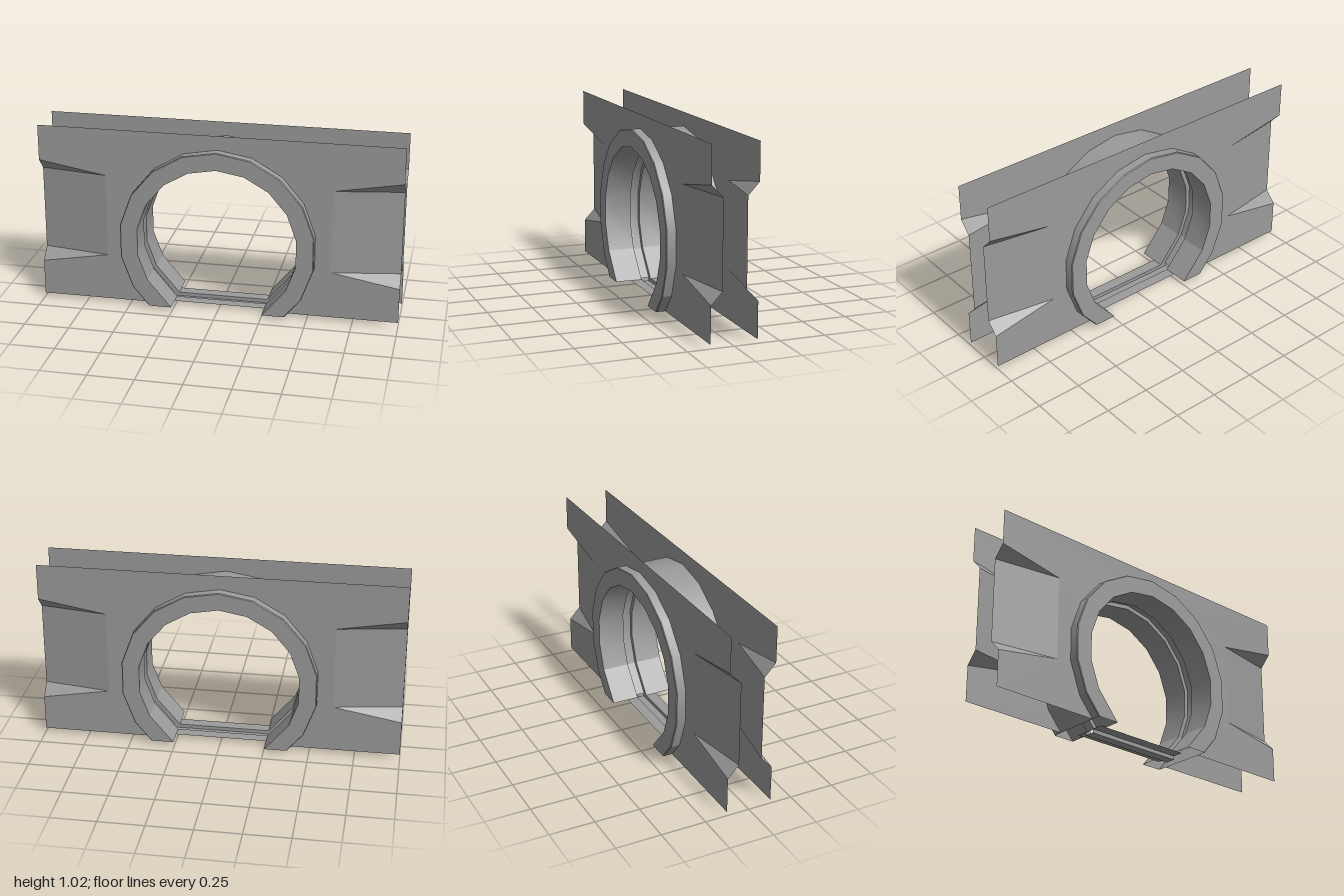
import * as THREE from 'three';

const BASE = 0.021;     // underside of plates and ring
const CY = 0.40;        // ring centre height
const PLATE_Z = 0.127;
const R_OUT = 0.544, R_IN = 0.446;
const END = 7;          // last station of the 18-sided ring, cut off at BASE

const mat = new THREE.MeshStandardMaterial({ color: 0x9b9b9b, side: THREE.DoubleSide });
const flatMat = new THREE.MeshStandardMaterial({ color: 0x9b9b9b, side: THREE.DoubleSide, flatShading: true });

function mesh(name, geo, material) {
  const m = new THREE.Mesh(geo, material);
  m.name = name;
  return m;
}

// Point on the 18-sided ring at radius r; the end stations stop at the base plane
function ringPoint(r, i) {
  const at = (k) => {
    const a = (k * Math.PI) / 9;
    return new THREE.Vector2(r * Math.sin(a), CY + r * Math.cos(a));
  };
  if (Math.abs(i) < END) return at(i);
  const p = at(Math.sign(i) * (END - 1)), q = at(i);
  return p.clone().lerp(q, (p.y - BASE) / (p.y - q.y));
}

// Ring cross-section as [radius, z]: chamfered outside, narrow groove inside
const C = 0.004, W = 0.18, G = 0.028;
const profile = [
  [R_OUT - C, W], [R_OUT, W - C], [R_OUT, C - W], [R_OUT - C, -W],
  [R_IN, -W], [R_IN, -G], [R_IN + 0.024, -G], [R_IN + 0.024, G], [R_IN, G], [R_IN, W],
];

// Sweep the section, open at both ends: smooth along the arc, sharp across it and at the end segments
function ringGeometry() {
  const pos = [], index = [];
  for (const [from, to] of [[-END, 1 - END], [1 - END, END - 1], [END - 1, END]]) {
    profile.forEach((a, j) => {
      const b = profile[(j + 1) % profile.length];
      for (let i = from; i <= to; i++) {
        const n = pos.length / 3;
        for (const [r, z] of [a, b]) {
          const p = ringPoint(r, i);
          pos.push(p.x, p.y, z);
        }
        if (i < to) index.push(n, n + 2, n + 3, n, n + 3, n + 1);
      }
    });
  }
  const geo = new THREE.BufferGeometry();
  geo.setAttribute('position', new THREE.Float32BufferAttribute(pos, 3));
  geo.setIndex(index);
  geo.computeVertexNormals();
  return geo;
}

// Non-indexed triangles from a list of corner points
function triangles(points) {
  const geo = new THREE.BufferGeometry();
  geo.setAttribute('position', new THREE.Float32BufferAttribute(points.flat(), 3));
  geo.computeVertexNormals();
  return geo;
}

// Dent at the plate ends
const IN_X = 0.625, LOW = 0.286, HIGH = 0.756, DENT_Z = 0.065;
const LOW_END = 0.22, HIGH_END = 0.822, TOP = 1.022;

function plateGeometry() {
  const half = [[1, BASE], [1, LOW_END], [IN_X, LOW], [IN_X, HIGH], [1, HIGH_END], [1, TOP]];
  const outline = [
    ...half.map(([x, y]) => new THREE.Vector2(x, y)),
    ...half.slice().reverse().map(([x, y]) => new THREE.Vector2(-x, y)),
  ];
  for (let i = -END; i <= END; i++) outline.push(ringPoint(R_OUT, i));
  return new THREE.ShapeGeometry(new THREE.Shape(outline)).translate(0, 0, PLATE_Z);
}

function dentGeometry(s) {
  const a = [s * IN_X, LOW, PLATE_Z], b = [s * IN_X, HIGH, PLATE_Z];
  const c = [s, LOW, DENT_Z], d = [s, HIGH, DENT_Z];
  const e = [s, LOW_END, PLATE_Z], f = [s, HIGH_END, PLATE_Z];
  const faces = [[a, c, d], [a, d, b], [b, d, f], [a, e, c]];
  return triangles(faces.flatMap(([p, q, r]) => (s > 0 ? [p, q, r] : [p, r, q])));
}

// Folded floor strip with a channel down its middle
function floorGeometry() {
  const L = 0.293;
  const fold = [[0.09, BASE], [G, BASE], [G, 0], [-G, 0], [-G, BASE], [-0.09, BASE]];
  const pts = [];
  for (let i = 0; i < fold.length - 1; i++) {
    const [z0, y0] = fold[i], [z1, y1] = fold[i + 1];
    const a = [-L, y0, z0], b = [L, y0, z0], c = [L, y1, z1], d = [-L, y1, z1];
    pts.push(a, b, c, a, c, d);
  }
  return triangles(pts);
}

export function createModel() {
  const model = new THREE.Group();
  model.name = 'ringBracket';

  // Two side plates with inward dents
  for (const [name, turn] of [['frontPlate', 0], ['backPlate', Math.PI]]) {
    const plate = new THREE.Group();
    plate.name = name;
    plate.add(mesh('panel', plateGeometry(), flatMat));
    for (const s of [1, -1]) plate.add(mesh(s > 0 ? 'leftDent' : 'rightDent', dentGeometry(s), flatMat));
    plate.rotation.y = turn;
    model.add(plate);
  }

  // Open ring through both plates, and the strip joining its ends
  model.add(mesh('ring', ringGeometry(), mat));
  model.add(mesh('floorStrip', floorGeometry(), flatMat));
  return model;
}
